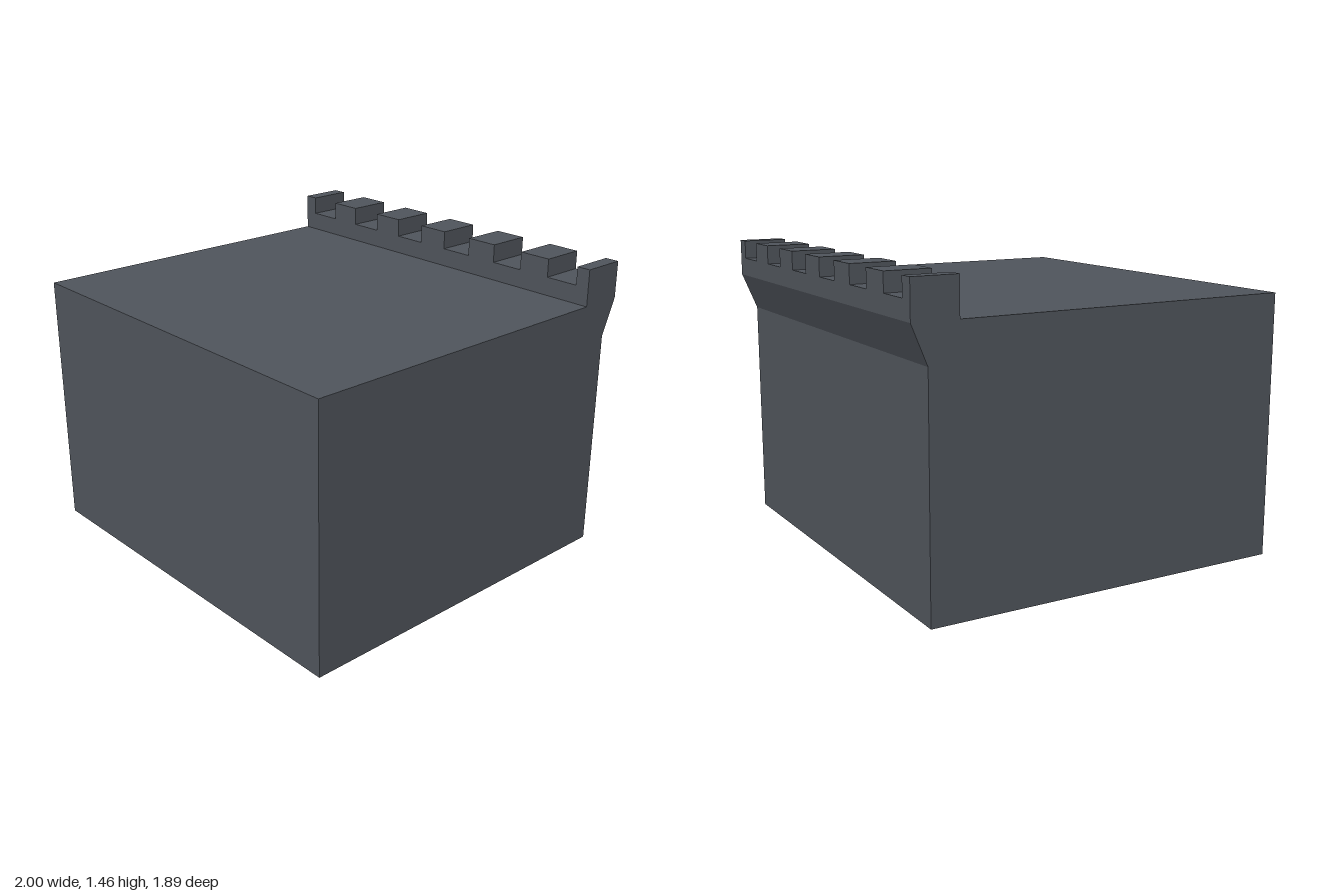
import * as THREE from 'three';

export function createModel() {
  const group = new THREE.Group();
  const stone = new THREE.MeshStandardMaterial({ color: 0x50555c });
  stone.name = 'dark grey stone';

  const front = 0.945, back = -0.945, wall = -0.87, inner = -0.725;
  const deck = 1.28, sill = 1.37, top = 1.46;

  // Side profile of block, sloped corbel and parapet, as [z, y]
  const profile = [
    [front, 0], [wall, 0], [wall, 1.1], [back, deck],
    [back, sill], [inner, sill], [inner, deck], [front, deck],
  ];
  const shape = new THREE.Shape(profile.map(([z, y]) => new THREE.Vector2(-z, y)));
  const bodyGeometry = new THREE.ExtrudeGeometry(shape, { depth: 2, bevelEnabled: false });
  bodyGeometry.rotateY(Math.PI / 2).translate(-1, 0, 0);
  const body = new THREE.Mesh(bodyGeometry, stone);
  body.name = 'wallBlock';
  group.add(body);

  // Merlons along the parapet, narrow ones at both ends
  const merlons = new THREE.Group();
  merlons.name = 'merlons';
  const spans = [[-0.083, 0.083]];
  for (const [a, b] of [[0.253, 0.42], [0.592, 0.76], [0.93, 1]]) {
    spans.push([a, b], [-b, -a]);
  }
  for (const [a, b] of spans) {
    const merlon = new THREE.Mesh(new THREE.BoxGeometry(b - a, top - sill, inner - back), stone);
    merlon.position.set((a + b) / 2, (top + sill) / 2, (inner + back) / 2);
    merlon.name = 'merlon';
    merlons.add(merlon);
  }
  group.add(merlons);
  return group;
}
